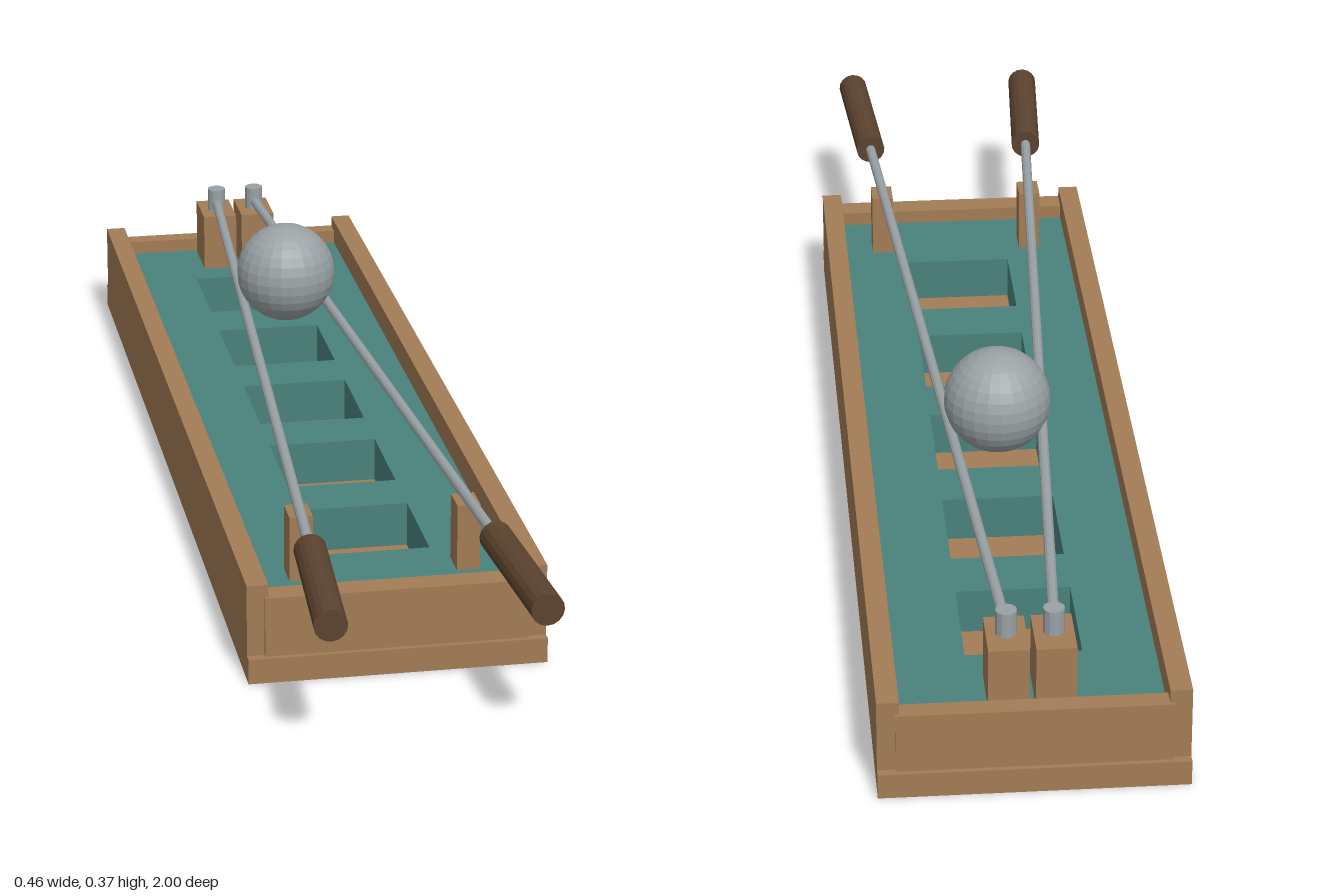
import * as THREE from 'three';

const material = (color, flatShading = false) => new THREE.MeshStandardMaterial({ color, flatShading });

export function createModel() {
  const model = new THREE.Group();
  model.name = 'rollingBallGame';
  const wood = material(0xa37c56);
  const teal = material(0x4a827c);
  const darkWood = material(0x5c432f, true);
  const metal = material(0x9aa2a5, true);

  const add = (name, geometry, mat) => {
    const mesh = new THREE.Mesh(geometry, mat);
    mesh.name = name;
    model.add(mesh);
    return mesh;
  };
  // box given by its lower and upper corners
  const box = (name, [x0, y0, z0], [x1, y1, z1], mat = wood) =>
    add(name, new THREE.BoxGeometry(x1 - x0, y1 - y0, z1 - z0), mat)
      .position.set((x0 + x1) / 2, (y0 + y1) / 2, (z0 + z1) / 2);
  // cylinder between two points
  const rod = (name, from, to, radius, sides, mat) => {
    const dir = to.clone().sub(from);
    const mesh = add(name, new THREE.CylinderGeometry(radius, radius, dir.length(), sides), mat);
    mesh.position.copy(from).add(to).multiplyScalar(0.5);
    mesh.quaternion.setFromUnitVectors(new THREE.Vector3(0, 1, 0), dir.normalize());
  };

  // tray: base board and end rails
  const bedTop = 0.112;
  box('baseBoard', [-0.23, 0, -1], [0.23, 0.04, 0.7]);
  box('frontRail', [-0.203, 0.04, 0.65], [0.203, 0.135, 0.692]);
  box('backRail', [-0.203, 0.04, -0.992], [0.203, 0.135, -0.96]);

  // playing bed with five square pockets, open down to the base board
  const bed = new THREE.Shape([[-0.2, -0.65], [0.2, -0.65], [0.2, 0.96], [-0.2, 0.96]]
    .map(([x, y]) => new THREE.Vector2(x, y)));
  for (let i = 0; i < 5; i++) {
    const z = -0.71 + i * 0.278;
    bed.holes.push(new THREE.Path([[-0.088, -z - 0.09], [-0.088, -z + 0.09], [0.088, -z + 0.09], [0.088, -z - 0.09]]
      .map(([x, y]) => new THREE.Vector2(x, y))));
  }
  const bedGeometry = new THREE.ExtrudeGeometry(bed, { depth: bedTop - 0.04, bevelEnabled: false });
  bedGeometry.rotateX(-Math.PI / 2).translate(0, 0.04, 0);
  add('pocketBed', bedGeometry, teal);

  // mirrored rails, supports, rods and handles
  for (const [side, s] of [['left', 1], ['right', -1]]) {
    const sideBox = (name, x, width, y0, y1, z0, z1) =>
      box(side + name, [s * x - width / 2, y0, z0], [s * x + width / 2, y1, z1]);
    sideBox('SideRail', 0.2135, 0.033, 0.04, 0.155, -0.986, 0.686);
    sideBox('FrontPost', 0.13, 0.036, bedTop, 0.218, 0.535, 0.585);
    sideBox('PivotBlock', 0.035, 0.06, bedTop, 0.212, -0.95, -0.855);

    const at = (z, y = 0.225) => new THREE.Vector3(s * (0.035 + (z + 0.9) * 0.0648), y, z);
    rod(side + 'PivotPin', at(-0.9, 0.212), at(-0.9, 0.252), 0.016, 12, metal);
    rod(side + 'Rod', at(-0.9), at(0.75), 0.0085, 12, metal);
    rod(side + 'Handle', at(0.725), at(0.998), 0.025, 16, darkWood);
  }

  // steel ball resting between the rods
  add('ball', new THREE.SphereGeometry(0.084, 24, 16), metal).position.set(0, 0.285, -0.33);

  return model;
}
